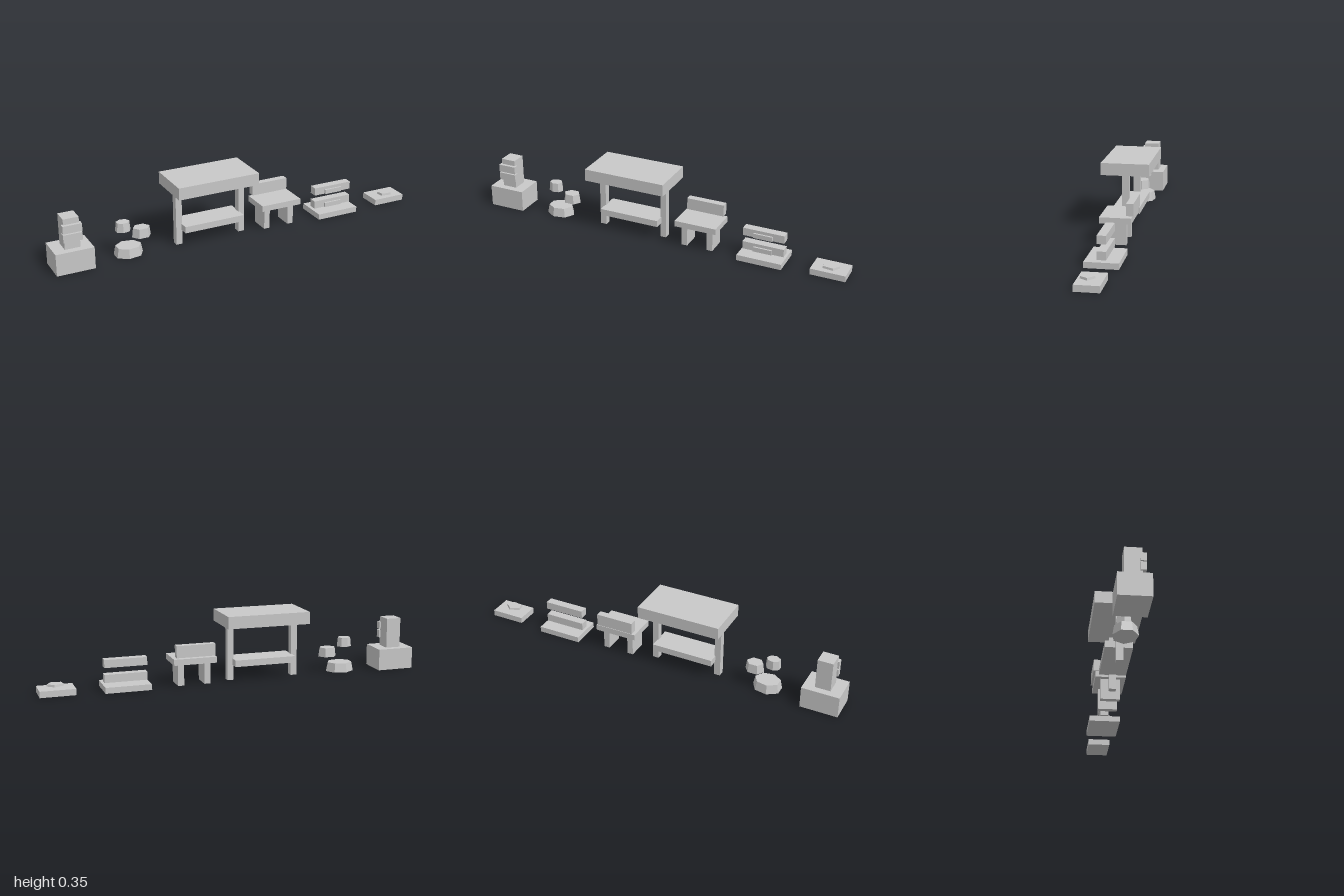
import * as THREE from 'three';
import { ConvexGeometry } from 'three/addons/geometries/ConvexGeometry.js';

export function createModel() {
  const model = new THREE.Group();
  model.name = 'furnitureRow';
  const stone = new THREE.MeshStandardMaterial({ color: 0xc8c8c8 });
  stone.name = 'stoneGrey';

  const group = (name) => {
    const g = new THREE.Group();
    g.name = name;
    model.add(g);
    return g;
  };
  const add = (parent, name, geometry) => {
    const mesh = new THREE.Mesh(geometry, stone);
    mesh.name = name;
    parent.add(mesh);
    return mesh;
  };
  // Box given by its extents along each axis
  const box = (parent, name, [x0, x1], [y0, y1], [z0, z1]) =>
    add(parent, name, new THREE.BoxGeometry(x1 - x0, y1 - y0, z1 - z0))
      .position.set((x0 + x1) / 2, (y0 + y1) / 2, (z0 + z1) / 2);

  // Pedestal with a column and two front slats
  const pedestal = group('pedestal');
  box(pedestal, 'pedestalBase', [-1, -0.805], [0, 0.113], [-0.077, 0.077]);
  box(pedestal, 'column', [-0.942, -0.863], [0.113, 0.271], [-0.041, 0.041]);
  for (const y of [0.156, 0.202])
    box(pedestal, 'columnSlat', [-0.951, -0.854], [y, y + 0.04], [0.031, 0.058]);

  // Three tapered, faceted rocks, one above the other
  const rocks = group('rocks');
  const rock = (x, y, radius, height, sides) => {
    const indexed = new THREE.CylinderGeometry(radius * 0.87, radius, height, sides);
    indexed.rotateY(Math.PI / 2);
    indexed.scale(1, 1, 0.82);
    const faceted = indexed.toNonIndexed();
    faceted.computeVertexNormals();
    add(rocks, 'rock', faceted).position.set(x, y + height / 2, 0);
  };
  rock(-0.606, 0, 0.0763, 0.048, 7);
  rock(-0.534, 0.084, 0.05, 0.048, 6);
  rock(-0.63, 0.132, 0.04, 0.048, 7);

  // Table on two legs with a low shelf
  const table = group('table');
  box(table, 'tableTop', [-0.38, 0.06], [0.29, 0.353], [-0.124, 0.124]);
  for (const x of [-0.353, -0.003])
    box(table, 'tableLeg', [x, x + 0.033], [0, 0.29], [-0.018, 0.018]);
  box(table, 'tableShelf', [-0.325, 0.003], [0.079, 0.113], [-0.069, 0.069]);

  // Seat with slab legs and a raised back
  const chair = group('chair');
  box(chair, 'seat', [0.106, 0.33], [0.113, 0.144], [-0.079, 0.08]);
  for (const x of [0.132, 0.271])
    box(chair, 'chairLeg', [x, x + 0.032], [0, 0.113], [-0.051, 0.051]);
  box(chair, 'backrest', [0.117, 0.319], [0.153, 0.215], [-0.088, -0.052]);

  // Plinth with two floating bars, each with a small front panel
  const rack = group('rack');
  box(rack, 'rackBase', [0.446, 0.681], [0, 0.03], [-0.083, 0.083]);
  for (const y of [0.039, 0.115]) {
    box(rack, 'rackBar', [0.454, 0.672], [y, y + 0.041], [-0.022, 0.022]);
    box(rack, 'rackPanel', [0.513, 0.612], [y + 0.001, y + 0.025], [0.022, 0.032]);
  }

  // Low plate with a five-sided tile above it
  const plate = group('plate');
  box(plate, 'plateBase', [0.82, 1], [0, 0.032], [-0.06, 0.06]);
  const corners = [[0.87, 0], [0.92, -0.024], [0.956, 0.007], [0.932, 0.044], [0.877, 0.038]];
  const centre = [0.911, 0.013];
  const ring = (y, s) => corners.map(([x, z]) => new THREE.Vector3(
    centre[0] + (x - centre[0]) * s, y, centre[1] + (z - centre[1]) * s));
  add(plate, 'tile', new ConvexGeometry([...ring(0.038, 1), ...ring(0.049, 0.94)]));

  return model;
}
